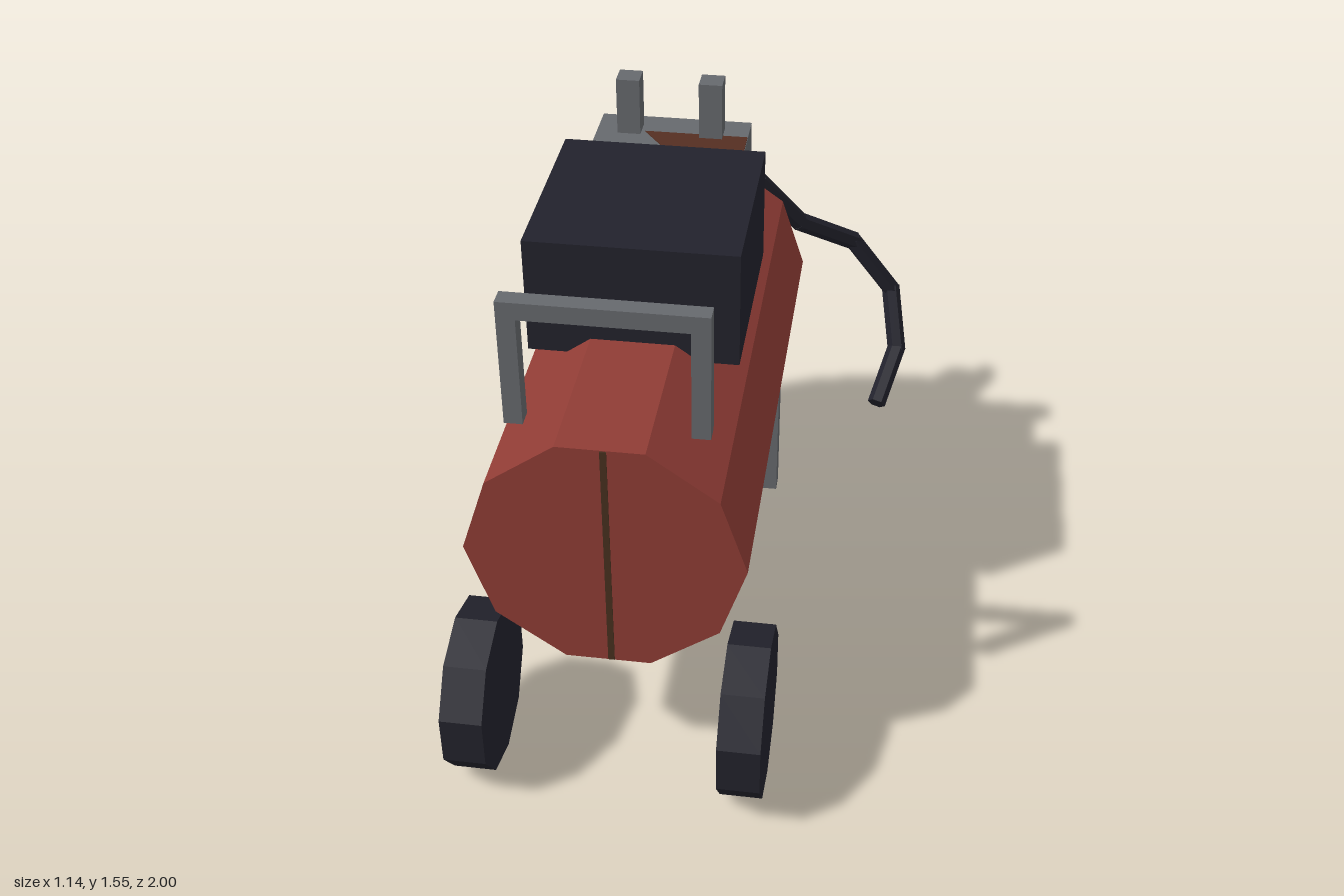
import * as THREE from 'three';

const mat = (name, color) => {
  const m = new THREE.MeshStandardMaterial({ color });
  m.name = name;
  return m;
};

export function createModel() {
  const red = mat('red paint', 0x8f3c35);
  const grey = mat('grey metal', 0x66696d);
  const dark = mat('dark rubber', 0x22222c);
  const rust = mat('rust', 0x552f22);
  const seamBrown = mat('seam brown', 0x47301f);

  const CX = -0.142; // centre line of the compressor body
  const model = new THREE.Group();
  model.name = 'airCompressor';

  // Adds a mesh with faceted normals
  const add = (name, geometry, material, parent = model) => {
    const g = geometry.index ? geometry.toNonIndexed() : geometry;
    g.computeVertexNormals();
    const mesh = new THREE.Mesh(g, material);
    mesh.name = name;
    parent.add(mesh);
    return mesh;
  };

  // Box given by its limits on each axis
  const box = (name, material, [x0, x1], [y0, y1], [z0, z1], parent) =>
    add(name, new THREE.BoxGeometry(x1 - x0, y1 - y0, z1 - z0)
      .translate((x0 + x1) / 2, (y0 + y1) / 2, (z0 + z1) / 2), material, parent);

  // Ten-sided tank with a flat top
  add('tank', new THREE.CylinderGeometry(0.365, 0.365, 1.5, 10)
    .rotateY(Math.PI / 2).rotateX(Math.PI / 2).translate(CX, 0.77, 0.08), red);

  // Seams down both tank ends
  for (const z of [0.83, -0.67]) {
    box('tankSeam', seamBrown, [-0.142, -0.125], [0.425, 1.115], [z - 0.003, z + 0.003]);
  }

  // Wheels and rear legs, mirrored about the centre line
  for (const s of [-1, 1]) {
    add('wheel', new THREE.CylinderGeometry(0.235, 0.235, 0.115, 10)
      .rotateY(Math.PI / 2).rotateZ(Math.PI / 2).translate(CX + s * 0.367, 0.235, 0.78), dark);
    const lx = CX + s * 0.292;
    box('leg', grey, [lx - 0.033, lx + 0.033], [0.055, 0.62], [-0.45, -0.39]);
  }

  // Rust patches on the legs
  box('legRust', rust, [-0.45, -0.401], [0.32, 0.415], [-0.392, -0.388]);
  box('legRust', rust, [-0.469, -0.465], [0.32, 0.415], [-0.42, -0.391]);
  box('legRust', rust, [0.118, 0.165], [0.32, 0.415], [-0.452, -0.448]);

  // Motor housing and pump block
  box('motorHousing', dark, [-0.425, 0.141], [1.07, 1.402], [-0.205, 0.36]);
  box('pumpBlock', grey, [-0.36, 0.076], [1.105, 1.37], [-0.437, -0.2]);

  // Rust patch on top of the pump block
  const patch = new THREE.Shape([[-0.22, 0.34], [-0.15, 0.245], [0.075, 0.245], [0.075, 0.34]]
    .map(([x, y]) => new THREE.Vector2(x, y)));
  add('pumpRust', new THREE.ExtrudeGeometry(patch, { depth: 0.004, bevelEnabled: false })
    .rotateX(-Math.PI / 2).translate(0, 1.369, 0), rust);

  // Pump posts
  for (const x of [-0.259, -0.025]) {
    box('pumpPost', grey, [x - 0.033, x + 0.033], [1.388, 1.553], [-0.355, -0.289]);
  }

  // Front handle
  const handle = new THREE.Group();
  handle.name = 'handle';
  model.add(handle);
  box('handleBar', grey, [-0.4, 0.117], [1.412, 1.46], [0.688, 0.736], handle);
  box('handleUpright', grey, [-0.4, -0.352], [1.105, 1.412], [0.688, 0.736], handle);
  box('handleUpright', grey, [0.069, 0.117], [1.105, 1.412], [0.688, 0.736], handle);

  // Curved hose hook
  const hook = new THREE.Shape();
  const a0 = Math.PI * 0.87, a1 = -Math.PI / 2;
  hook.absarc(0, 0, 0.1, a0, a1, true);
  hook.absarc(0, 0, 0.045, a1, a0, false);
  hook.closePath();
  add('hoseHook', new THREE.ExtrudeGeometry(hook, { depth: 0.05, bevelEnabled: false, curveSegments: 7 })
    .rotateY(Math.PI / 2).translate(0.03, 1.0, -0.688), grey);

  // Hose made of straight six-sided sections
  const path = [
    [0.075, 1.04, -0.69], [0.2, 0.85, -0.785], [0.37, 0.71, -0.925],
    [0.505, 0.51, -0.965], [0.54, 0.335, -0.865], [0.49, 0.225, -0.695],
  ].map((p) => new THREE.Vector3(...p));
  const hose = new THREE.Group();
  hose.name = 'hose';
  model.add(hose);
  for (let i = 0; i < path.length - 1; i++) {
    const dir = path[i + 1].clone().sub(path[i]);
    const part = add('hoseSection', new THREE.CylinderGeometry(0.03, 0.03, dir.length() + 0.016, 6), dark, hose);
    part.position.copy(path[i]).addScaledVector(dir, 0.5);
    part.quaternion.setFromUnitVectors(new THREE.Vector3(0, 1, 0), dir.normalize());
  }

  return model;
}
